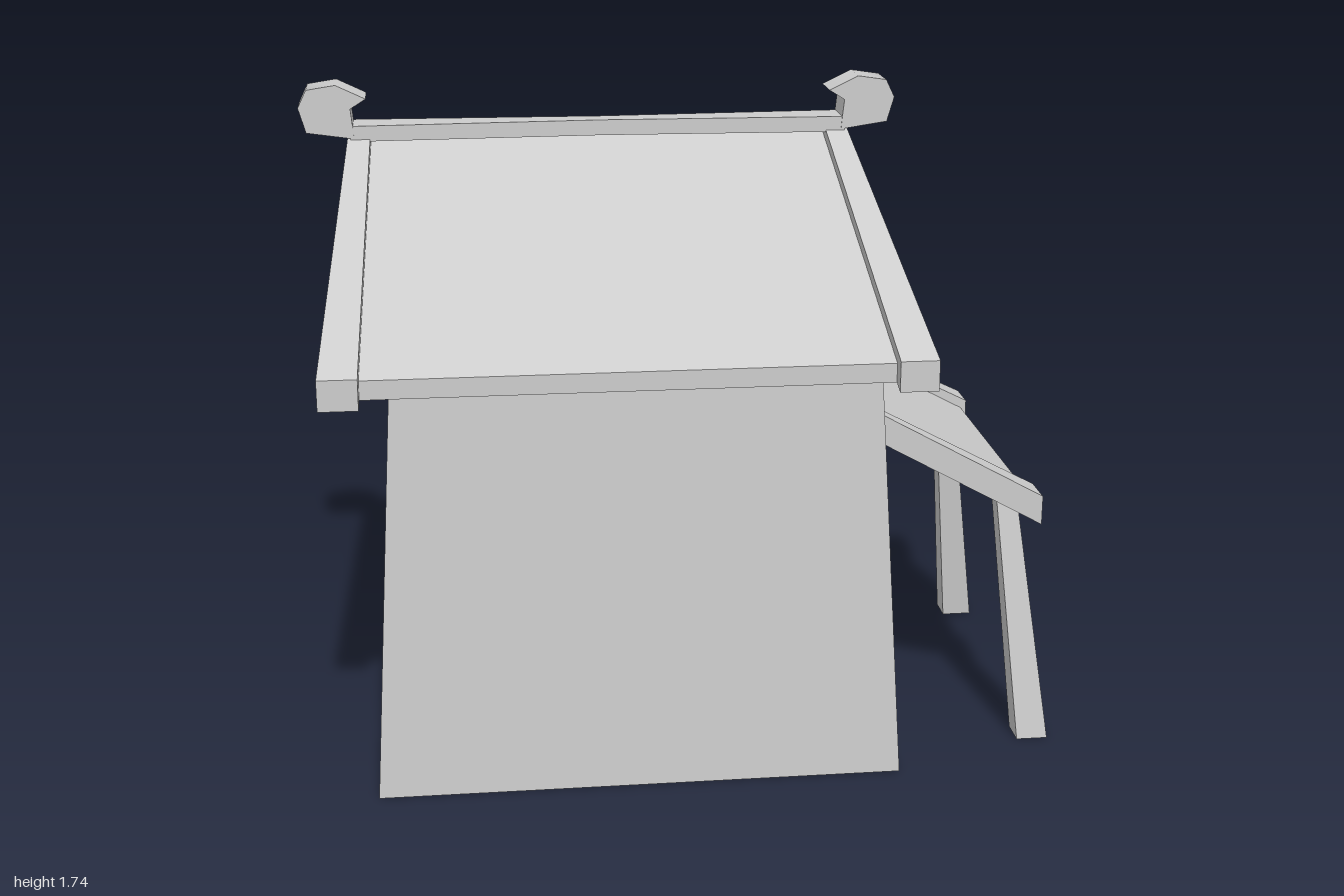
import * as THREE from 'three';
import { toCreasedNormals } from 'three/addons/utils/BufferGeometryUtils.js';

// Walls and posts are open at the bottom, so both sides show
const clay = new THREE.MeshStandardMaterial({ color: 0xcccccc, side: THREE.DoubleSide });
clay.name = 'plain grey';

// Extrude an outline by one unit, leave out the triangles that pass an open
// test, then place each vertex (a, b, s) by a rule
function prism(name, points, place, { crease = 0.2, open = [] } = {}) {
  const shape = new THREE.Shape(points.map(([a, b]) => new THREE.Vector2(a, b)));
  const source = new THREE.ExtrudeGeometry(shape, { depth: 1, bevelEnabled: false }).attributes.position;
  const placed = [];
  for (let i = 0; i < source.count; i += 3) {
    const tri = [i, i + 1, i + 2].map((j) => [source.getX(j), source.getY(j), source.getZ(j)]);
    if (open.some((test) => test(tri))) continue;
    for (const v of tri) placed.push(...place(...v));
  }
  const geo = new THREE.BufferGeometry();
  geo.setAttribute('position', new THREE.Float32BufferAttribute(placed, 3));
  const mesh = new THREE.Mesh(toCreasedNormals(geo, crease), clay);
  mesh.name = name;
  return mesh;
}

const lerp = THREE.MathUtils.lerp;
const atFloor = (tri) => tri.every((v) => v[1] < 0.001);
const atStart = (tri) => tri.every((v) => v[2] < 0.001);
const beyondStart = (tri) => tri.some((v) => v[2] > 0.001);
const atBack = (tri) => tri.every((v) => v[0] < -0.56);

export function createModel() {
  const group = new THREE.Group();
  group.name = 'cottage';
  const add = (...args) => group.add(prism(...args));

  // House walls: gabled side profile (z, y), narrowing upward, open at floor and back
  const bodyX = -0.14, backTop = 1.19;
  const half = (y) => 0.692 - 0.059 * y;
  const backZ = (y) => -0.63 + 0.05 * y;
  add('houseWalls', [
    [0.62, 0], [0.56, 1.14], [-0.26, 1.485], [backZ(backTop), backTop], [backZ(0), 0],
  ], (z, y, s) => [bodyX - (2 * s - 1) * half(y), y, z], { open: [atFloor, atBack] });

  // Back wall sheet with an arched opening
  const rightArch = [[-0.49, 0], [-0.44, 0.45], [-0.36, 0.52], [-0.22, 0.55]];
  const leftArch = rightArch.map(([x, y]) => [-x, y]).reverse();
  const arch = [...rightArch, ...leftArch];
  add('backWall', [
    [half(0), 0], [half(backTop), backTop], [-half(backTop), backTop], [-half(0), 0], ...arch,
  ], (x, y) => [bodyX + x, y, backZ(y)], { open: [beyondStart] });

  // Arched alcove set into the back wall
  add('backAlcove', arch, (x, y, s) => [bodyX + x, y, backZ(y) + 0.2 * s],
    { crease: 0.9, open: [atFloor, atStart] });

  // Main roof: chevron profiles that flare toward the eaves
  const roofX = -0.168, apexZ = -0.26;
  const flare = (z) => (z > apexZ ? (z - apexZ) / 0.96 : (apexZ - z) / 0.44);
  const under = (z) => 1.53 - 0.44 * flare(z);
  const chevron = (front, back, t) => [
    [front, under(front)], [front, under(front) + t], [apexZ, 1.53 + t],
    [back, under(back) + t], [back, under(back)], [apexZ, 1.53],
  ];
  const inner = (z) => 0.635 + 0.035 * flare(z);
  const outer = (z) => 0.695 + 0.075 * flare(z);
  add('roofPanel', chevron(0.665, -0.68, 0.05), (z, y, s) => [roofX - (2 * s - 1) * inner(z), y, z]);
  for (const side of [1, -1]) {
    add(side > 0 ? 'leftBargeBoard' : 'rightBargeBoard', chevron(0.7, -0.7, 0.08), (z, y, s) => {
      const k = side > 0 ? 1 - s : s;
      return [roofX + side * lerp(inner(z), outer(z), k), y, z];
    });
  }

  // Ridge beam, waisted in the middle
  add('ridgeBeam', [
    [-0.69, -0.055], [0, -0.032], [0.69, -0.055], [0.69, 0.055], [0, 0.032], [-0.69, 0.055],
  ], (x, z, s) => [roofX + x, 1.623 - 0.043 * s, z + apexZ], { crease: 0.05 });

  // Curled ends of the ridge
  const curl = [[0.68, 1.588], [0.81, 1.607], [0.83, 1.676], [0.806, 1.725],
    [0.726, 1.737], [0.645, 1.698], [0.688, 1.671], [0.683, 1.623]];
  for (const side of [1, -1]) {
    add(side > 0 ? 'leftRidgeCurl' : 'rightRidgeCurl', curl.map(([x, y]) => [roofX + side * x, y]),
      (x, y, s) => [x, y, apexZ - 0.057 + 0.114 * s], { crease: 1.0 });
  }

  // Side awning: sloping panel between two flared rafters
  const awningZ = -0.01;
  const slope = (x) => (x - 0.495) / 0.455;
  const awningUnder = (x) => 0.868 - 0.235 * slope(x);
  const band = (x0, x1, t0, t1) => [
    [x0, awningUnder(x0)], [x1, awningUnder(x1)], [x1, awningUnder(x1) + t1], [x0, awningUnder(x0) + t0],
  ];
  const awnIn = (x) => 0.342 + 0.034 * slope(x);
  const awnOut = (x) => 0.397 + 0.08 * slope(x);
  add('awningPanel', band(0.495, 0.937, 0.062, 0.05), (x, y, s) => [x, y, awningZ + (2 * s - 1) * awnIn(x)]);
  for (const side of [1, -1]) {
    const label = side > 0 ? 'front' : 'back';
    add(label + 'AwningRafter', band(0.495, 0.953, 0.08, 0.08), (x, y, s) => {
      const k = side > 0 ? s : 1 - s;
      return [x, y, awningZ + side * lerp(awnIn(x), awnOut(x), k)];
    });
    // Splayed, tapering post
    add(label + 'AwningPost', [[0.915, 0], [1, 0], [0.908, 0.685], [0.852, 0.685]], (x, y, s) => {
      const t = y / 0.685, k = side > 0 ? s : 1 - s;
      return [x, y, awningZ + side * lerp(lerp(0.4, 0.323, t), lerp(0.48, 0.38, t), k)];
    }, { open: [atFloor] });
  }
  return group;
}
